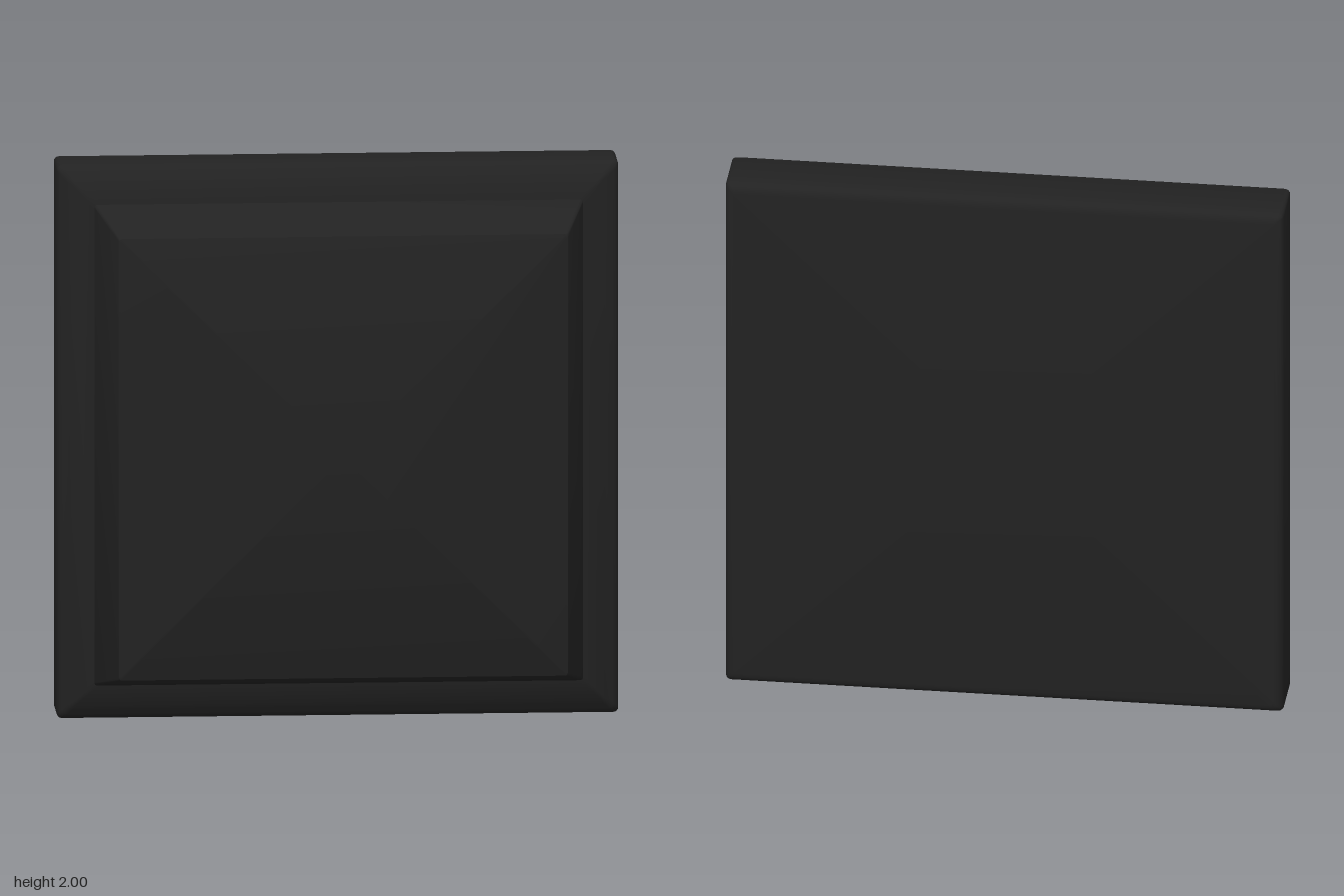
import * as THREE from 'three';
import { toCreasedNormals } from 'three/addons/utils/BufferGeometryUtils.js';

const STEPS = 4; // segments per rounded corner

// Rounded square of half-size h and corner radius r at depth z, counter-clockwise from the front
function ring(h, r, z) {
  const points = [];
  for (let corner = 0; corner < 4; corner++) {
    const mid = Math.PI / 4 + corner * Math.PI / 2;
    const cx = Math.sign(Math.cos(mid)) * (h - r);
    const cy = Math.sign(Math.sin(mid)) * (h - r);
    for (let s = 0; s <= STEPS; s++) {
      const a = (corner + s / STEPS) * Math.PI / 2;
      points.push([cx + Math.cos(a) * r, cy + Math.sin(a) * r, z]);
    }
  }
  return points;
}

// Skin a [half-size, z] profile, listed from back to front, with optional end caps
function loft(profile, radius, capBack, capFront) {
  const rings = profile.map(([h, z]) => ring(h, radius, z));
  const n = rings[0].length;
  const pos = [];
  for (let k = 0; k < rings.length - 1; k++) {
    for (let i = 0; i < n; i++) {
      const j = (i + 1) % n;
      const a = rings[k][i], b = rings[k][j], c = rings[k + 1][j], d = rings[k + 1][i];
      pos.push(...a, ...b, ...c, ...a, ...c, ...d);
    }
  }
  const back = rings[0], front = rings[rings.length - 1];
  for (let i = 0; i < n; i++) {
    const j = (i + 1) % n;
    if (capBack) pos.push(0, 0, back[0][2], ...back[j], ...back[i]);
    if (capFront) pos.push(0, 0, front[0][2], ...front[i], ...front[j]);
  }
  const geometry = new THREE.BufferGeometry();
  geometry.setAttribute('position', new THREE.Float32BufferAttribute(pos, 3));
  return toCreasedNormals(geometry, THREE.MathUtils.degToRad(32));
}

export function createModel() {
  const group = new THREE.Group();
  const material = new THREE.MeshStandardMaterial({ color: 0x222222 });

  function add(name, geometry) {
    const mesh = new THREE.Mesh(geometry, material);
    mesh.name = name;
    mesh.position.y = 1;
    group.add(mesh);
  }

  // Base slab: rounded back edge, straight side, moulded lip sloping up to the panel
  const slab = [];
  const edge = 0.035;
  for (let s = 0; s <= 4; s++) {
    const a = s / 4 * Math.PI / 2;
    slab.push([1 - edge + Math.sin(a) * edge, -0.285 + edge - Math.cos(a) * edge]);
  }
  slab.push([1, -0.075], [0.993, -0.06], [0.98, -0.05], [0.965, -0.042],
    [0.95, -0.03], [0.872, 0], [0.86, 0]);
  add('baseSlab', loft(slab, 0.018, true, false));

  // Raised panel tapering towards the front, with a tiny softened rim
  add('raisedPanel', loft([[0.872, -0.01], [0.87, 0], [0.803, 0.275], [0.799, 0.282],
    [0.792, 0.285]], 0.01, false, true));

  return group;
}
